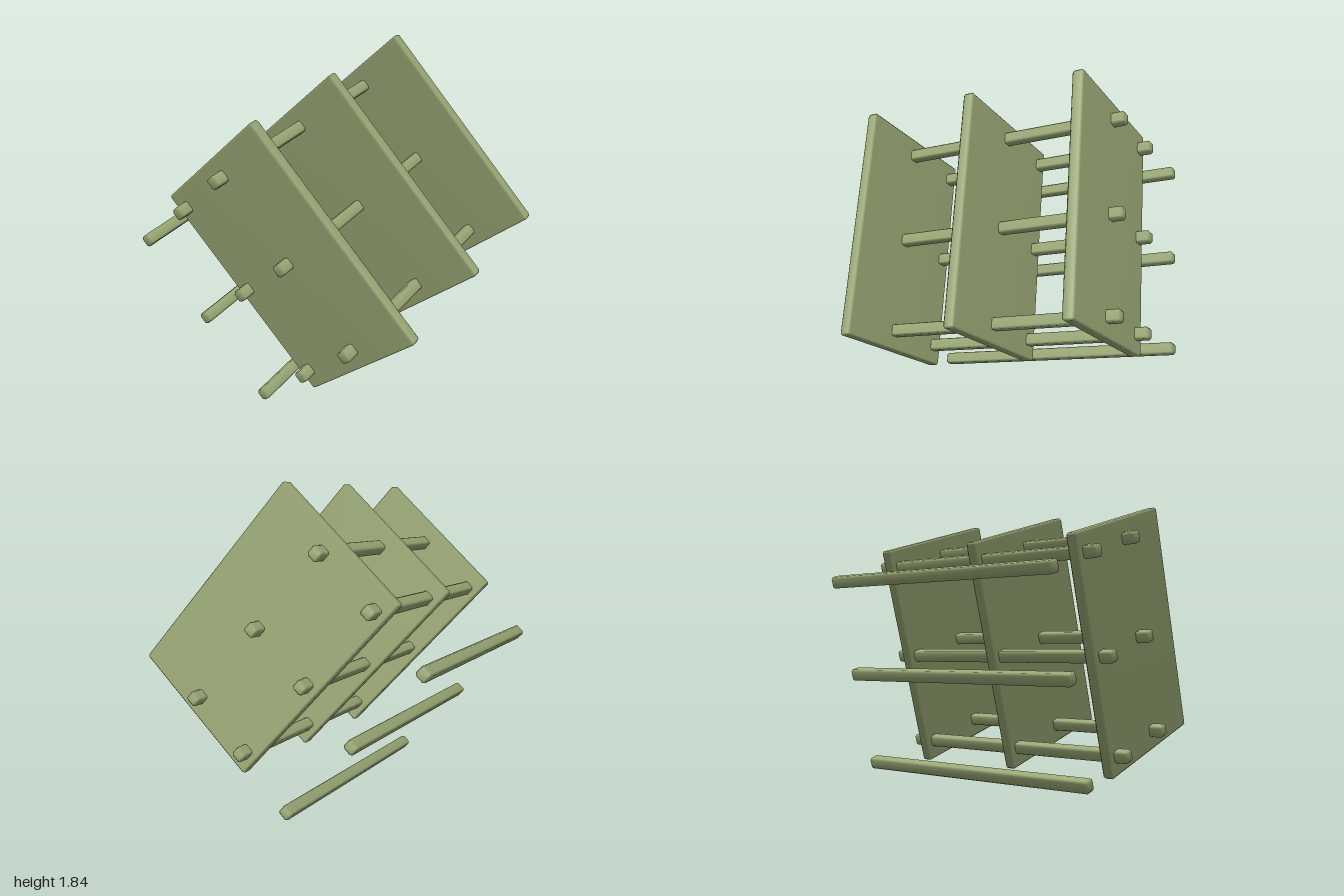
import * as THREE from 'three';
import { ConvexGeometry } from 'three/addons/geometries/ConvexGeometry.js';
import { mergeVertices } from 'three/addons/utils/BufferGeometryUtils.js';

// Box with small chamfers and softly blended normals
function bevelBox(w, h, d, b) {
  const points = [];
  for (const x of [-w / 2, w / 2]) for (const y of [-h / 2, h / 2]) for (const z of [-d / 2, d / 2]) {
    const bx = x - Math.sign(x) * b, by = y - Math.sign(y) * b, bz = z - Math.sign(z) * b;
    points.push(new THREE.Vector3(x, by, bz), new THREE.Vector3(bx, y, bz), new THREE.Vector3(bx, by, z));
  }
  const hull = new ConvexGeometry(points);
  hull.deleteAttribute('normal');
  const geometry = mergeVertices(hull, 1e-5);
  geometry.computeVertexNormals();
  return geometry;
}

export function createModel() {
  const model = new THREE.Group();
  model.name = 'tiltedRack';
  const green = new THREE.MeshStandardMaterial({ color: 0x98a674 });
  green.name = 'sageGreen';

  // Tilted frame: x runs along the rods, y and z along the panel edges
  const rack = new THREE.Group();
  rack.name = 'rack';
  const along = new THREE.Vector3(0.8, 0.253, -0.543).normalize();
  const up = new THREE.Vector3(-0.494, 0.787, -0.369);
  up.addScaledVector(along, -up.dot(along)).normalize();
  const across = new THREE.Vector3().crossVectors(along, up);
  rack.quaternion.setFromRotationMatrix(new THREE.Matrix4().makeBasis(along, up, across));
  rack.position.set(0.07, 1.013, 0.135);
  model.add(rack);

  const add = (name, geometry, x, y, z) => {
    const mesh = new THREE.Mesh(geometry, green);
    mesh.name = name;
    mesh.position.set(x, y, z);
    rack.add(mesh);
  };

  // Three parallel panels
  const panel = bevelBox(0.06, 1.2, 0.79, 0.01);
  [-0.6, 0, 0.6].forEach((x, i) => add(`panel${i + 1}`, panel, x, 0, 0));

  // Three by three rods, one row clear of the panels
  const rod = bevelBox(1.4, 0.06, 0.06, 0.01);
  [-0.5, 0, 0.5].forEach((y, i) => {
    [-0.69, -0.33, 0.03].forEach((z, j) => add(`rod${i * 3 + j + 1}`, rod, 0, y, z));
  });
  return model;
}
